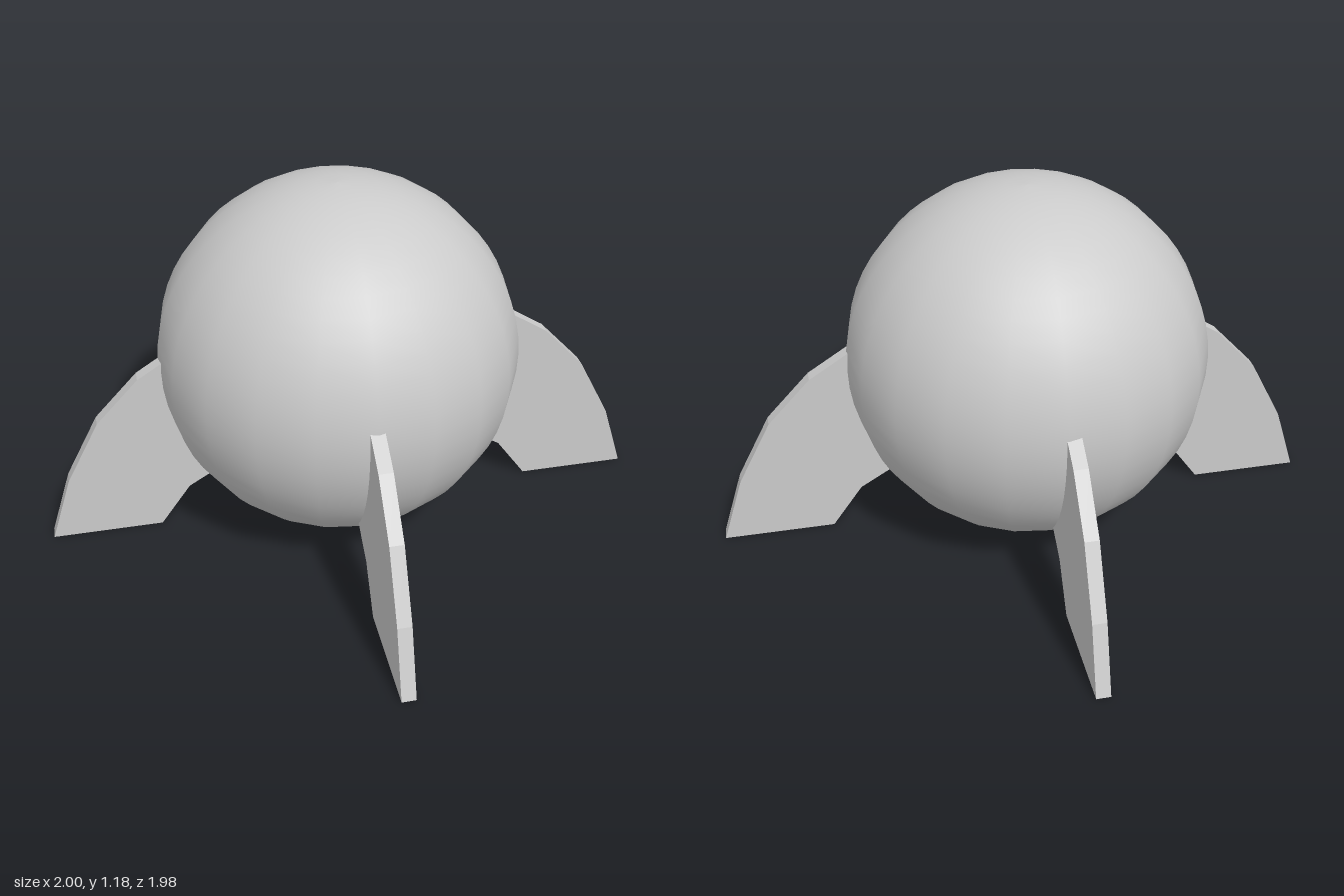
import * as THREE from 'three';

export function createModel() {
  const model = new THREE.Group();
  const material = new THREE.MeshStandardMaterial({ color: 0xcccccc });

  // Round hull with a shallow recess cut into its underside
  const radius = 0.585, centreY = 0.593;
  const profile = [new THREE.Vector2(0, 0.14), new THREE.Vector2(0.12, 0.14), new THREE.Vector2(0.2, 0.125)];
  const start = Math.acos(0.522 / radius), rings = 24;
  for (let i = 0; i <= rings; i++) {
    const a = start + (Math.PI - start) * (i / rings);
    profile.push(new THREE.Vector2(Math.max(0, radius * Math.sin(a)), centreY - radius * Math.cos(a)));
  }
  const hull = new THREE.Mesh(new THREE.LatheGeometry(profile, 20), material);
  hull.name = 'hull';
  hull.position.set(-0.025, 0, -0.015);
  model.add(hull);

  // Swept fin outline, x pointing outward; the root is buried in the hull
  const outline = [
    [0.64, 0], [1, 0], [0.93, 0.22], [0.82, 0.43], [0.68, 0.58], [0.54, 0.67],
    [0.46, 0.6], [0.4, 0.4], [0.36, 0.21], [0.44, 0.2], [0.54, 0.14],
  ].map(([x, y]) => new THREE.Vector2(x, y));
  const thickness = 0.045;
  const finGeometry = new THREE.ExtrudeGeometry(new THREE.Shape(outline), { depth: thickness, bevelEnabled: false });
  finGeometry.translate(0, 0, -thickness / 2);

  // Four fins, each set slightly off the centre line
  const fins = [
    ['leftFin', 0, 0, -0.009],
    ['backFin', Math.PI / 2, -0.042, 0.008],
    ['rightFin', Math.PI, 0, 0.007],
    ['frontFin', -Math.PI / 2, -0.027, -0.014],
  ];
  for (const [name, angle, x, z] of fins) {
    const fin = new THREE.Mesh(finGeometry, material);
    fin.name = name;
    fin.rotation.y = angle;
    fin.position.set(x, 0, z);
    model.add(fin);
  }
  return model;
}
